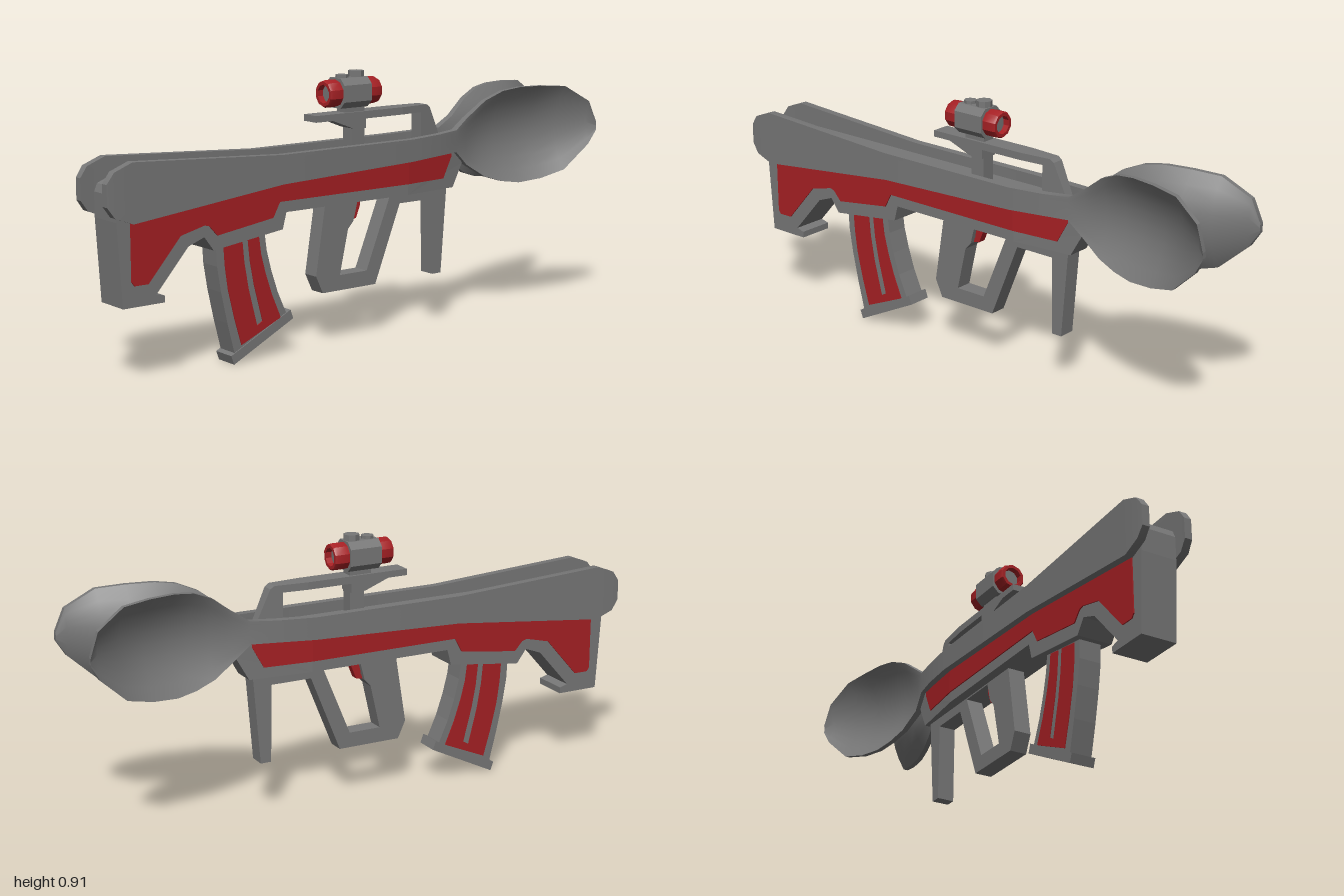
import * as THREE from 'three';
import { toCreasedNormals } from 'three/addons/utils/BufferGeometryUtils.js';

const gray = new THREE.MeshStandardMaterial({ color: 0x777777 });
gray.name = 'gunmetal gray';
const red = new THREE.MeshStandardMaterial({ color: 0xa62024 });
red.name = 'deep red';

function part(parent, name, geometry, material) {
  const mesh = new THREE.Mesh(geometry, material);
  mesh.name = name;
  parent.add(mesh);
  return mesh;
}

const vectors = (points) => points.map(([a, b]) => new THREE.Vector2(a, b));

// Side profile given as (z, y) points, extruded across x from x0 to x1
function slab(points, x0, x1, hole) {
  const shape = new THREE.Shape(vectors(points));
  if (hole) shape.holes.push(new THREE.Path(vectors(hole)));
  const geo = new THREE.ExtrudeGeometry(shape, { depth: x1 - x0, bevelEnabled: false });
  return geo.rotateY(-Math.PI / 2).translate(x1, 0, 0);
}

// Narrow a geometry in x between two z positions
function taper(geo, zStart, zEnd, endScale) {
  const p = geo.attributes.position;
  for (let i = 0; i < p.count; i++) {
    const t = THREE.MathUtils.clamp((zStart - p.getZ(i)) / (zStart - zEnd), 0, 1);
    p.setX(i, p.getX(i) * (1 - t * (1 - endScale)));
  }
  geo.computeVertexNormals();
  return geo;
}

// Spoon stations: z, low y, high y, outer x, hollow depth, thickness
const spoonStations = [
  [1.0, 0.575, 0.645, 0.09, 0, 0.026],
  [0.975, 0.54, 0.68, 0.093, 0, 0.028],
  [0.91, 0.515, 0.705, 0.093, 0, 0.028],
  [0.345, 0.577, 0.673, 0.09, 0, 0.028],
  [-0.2, 0.597, 0.673, 0.09, 0, 0.028],
  [-0.33, 0.603, 0.677, 0.076, 0, 0.028],
  [-0.42, 0.605, 0.682, 0.06, 0, 0.027],
  [-0.475, 0.555, 0.718, 0.052, 0.008, 0.024],
  [-0.55, 0.507, 0.775, 0.064, 0.037, 0.02],
  [-0.62, 0.485, 0.805, 0.078, 0.055, 0.018],
  [-0.69, 0.475, 0.815, 0.092, 0.066, 0.018],
  [-0.78, 0.483, 0.815, 0.109, 0.067, 0.018],
  [-0.875, 0.508, 0.808, 0.131, 0.05, 0.017],
  [-0.97, 0.595, 0.75, 0.156, 0.015, 0.016],
  [-1.0, 0.645, 0.672, 0.165, 0.002, 0.016],
];

function spoonGeometry(side) {
  const n = 8;
  const ring = 2 * (n + 1);
  const positions = [];
  const index = [];
  for (const [z, lo, hi, x, depth, thick] of spoonStations) {
    for (let k = 0; k < ring; k++) {
      const inner = k > n;
      const v = (inner ? ring - 1 - k : k) / n;
      const sag = depth * (1 - (2 * v - 1) ** 2);
      positions.push(side * (x - sag - (inner ? thick : 0)), lo + (hi - lo) * v, z);
    }
  }
  const tri = (a, b, c) => (side > 0 ? index.push(a, b, c) : index.push(a, c, b));
  const last = (spoonStations.length - 1) * ring;
  for (let s = 0; s < last; s += ring) {
    for (let k = 0; k < ring; k++) {
      const next = (k + 1) % ring;
      tri(s + k, s + ring + k, s + ring + next);
      tri(s + k, s + ring + next, s + next);
    }
  }
  for (let k = 0; k < n; k++) {
    const m = ring - 1 - k;
    for (const [o, flip] of [[0, false], [last, true]]) {
      const [a, b, c, d] = [o + k, o + k + 1, o + m - 1, o + m];
      if (flip) { tri(a, c, b); tri(a, d, c); } else { tri(a, b, c); tri(a, c, d); }
    }
  }
  const geo = new THREE.BufferGeometry();
  geo.setAttribute('position', new THREE.Float32BufferAttribute(positions, 3));
  geo.setIndex(index);
  return toCreasedNormals(geo, 0.6);
}

export function createModel() {
  const model = new THREE.Group();
  model.name = 'spoonRifle';

  // Body: straight stock and a rear section that narrows
  const W = 0.063;
  const narrow = (geo) => taper(geo, -0.2, -0.48, 0.58);
  part(model, 'stock', slab([
    [0.936, 0.25], [0.953, 0.52], [0.953, 0.6], [0.942, 0.625], [0.915, 0.636], [-0.2, 0.636],
    [-0.2, 0.48], [0.315, 0.48], [0.33, 0.425], [0.6, 0.39], [0.635, 0.437], [0.695, 0.415],
    [0.815, 0.28], [0.785, 0.272], [0.785, 0.25],
  ], -W, W), gray);
  part(model, 'rearBody', narrow(slab([
    [-0.2, 0.48], [-0.2, 0.636], [-0.5, 0.636], [-0.465, 0.56], [-0.42, 0.48],
  ], -W, W)), gray);

  // Red side panels and the two spoons
  for (const side of [1, -1]) {
    const label = side > 0 ? 'left' : 'right';
    const x0 = side > 0 ? W - 0.001 : -W - 0.004;
    const x1 = x0 + 0.005;
    part(model, label + 'StockPanel', slab([
      [0.905, 0.53], [0.905, 0.33], [0.895, 0.317], [0.845, 0.317], [0.725, 0.453], [0.635, 0.475],
      [0.617, 0.47], [0.587, 0.437], [0.37, 0.468], [0.343, 0.517], [-0.2, 0.517], [-0.2, 0.605],
      [0.345, 0.59],
    ], x0, x1), red);
    part(model, label + 'RearPanel', narrow(slab([
      [-0.2, 0.517], [-0.2, 0.605], [-0.41, 0.607], [-0.41, 0.59], [-0.37, 0.517],
    ], x0, x1)), red);
    part(model, label + 'Spoon', spoonGeometry(side), gray);
  }

  // Curved magazine with slotted red panels
  const magazine = new THREE.Group();
  magazine.name = 'magazine';
  model.add(magazine);
  part(magazine, 'magazineBody', slab([
    [0.577, 0.42], [0.572, 0.33], [0.558, 0.245], [0.535, 0.14], [0.507, 0.03], [0.297, 0.13],
    [0.335, 0.215], [0.36, 0.29], [0.378, 0.36], [0.388, 0.44],
  ], -0.039, 0.039), gray);
  part(magazine, 'magazineBase', slab([
    [0.524, 0.03], [0.513, 0], [0.275, 0.118], [0.286, 0.148],
  ], -0.043, 0.043), gray);
  for (const x of [0.038, -0.042]) {
    part(magazine, 'magazinePanel', slab([
      [0.547, 0.393], [0.543, 0.33], [0.532, 0.25], [0.508, 0.15], [0.482, 0.06], [0.325, 0.128],
      [0.36, 0.21], [0.385, 0.285], [0.402, 0.35], [0.41, 0.412], [0.453, 0.406], [0.445, 0.33],
      [0.43, 0.25], [0.398, 0.127], [0.42, 0.115], [0.452, 0.24], [0.468, 0.33], [0.475, 0.403],
    ], x, x + 0.004), red);
  }

  // Pistol grip with its guard, front leg and trigger
  part(model, 'gripFrame', slab([
    [0.13, 0.49], [0.17, 0.24], [0.142, 0.18], [-0.083, 0.18], [-0.19, 0.447], [-0.335, 0.447],
    [-0.34, 0.18], [-0.378, 0.18], [-0.402, 0.49],
  ], -0.03, 0.03, [
    [-0.005, 0.475], [-0.145, 0.475], [-0.045, 0.232], [0.07, 0.232], [0.035, 0.385], [0.012, 0.41],
  ]), gray);
  part(model, 'trigger', slab([
    [0.005, 0.485], [0.004, 0.43], [0.018, 0.41], [-0.012, 0.415], [-0.03, 0.46], [-0.03, 0.485],
  ], -0.014, 0.014), red);

  // Carry handle: rail, front post and sloping rear post
  const handle = new THREE.Group();
  handle.name = 'carryHandle';
  model.add(handle);
  part(handle, 'rail', slab([
    [0.17, 0.755], [0.17, 0.777], [-0.2, 0.777], [-0.2, 0.752], [-0.04, 0.752], [-0.04, 0.72],
    [0.013, 0.722], [0.1, 0.755],
  ], -0.033, 0.033), gray);
  part(handle, 'frontPost', slab([
    [0.013, 0.62], [0.013, 0.73], [-0.04, 0.73], [-0.04, 0.62],
  ], -0.024, 0.024), gray);
  part(handle, 'rearPost', taper(slab([
    [-0.2, 0.752], [-0.2, 0.777], [-0.315, 0.777], [-0.33, 0.767], [-0.395, 0.625], [-0.287, 0.625],
    [-0.287, 0.752],
  ], -0.033, 0.033), -0.2, -0.4, 0.45), gray);

  // Scope: chamfered housing, mount, knobs and hollow red end rings
  const scope = new THREE.Group();
  scope.name = 'scope';
  scope.position.y = 0.842;
  model.add(scope);
  const c = 0.028;
  const h = 0.05;
  const housing = new THREE.Shape(vectors([
    [h, -c], [h, c], [c, h], [-c, h], [-h, c], [-h, -c], [-c, -h], [c, -h],
  ]));
  part(scope, 'housing', new THREE.ExtrudeGeometry(housing, { depth: 0.115, bevelEnabled: false })
    .translate(0, 0, -0.05), gray);
  part(scope, 'mount', new THREE.BoxGeometry(0.046, 0.04, 0.08), gray).position.set(0, -0.06, 0);
  for (const [z, r, top] of [[-0.022, 0.027, 0.07], [0.037, 0.022, 0.06]]) {
    part(scope, 'knob', toCreasedNormals(new THREE.CylinderGeometry(r, r, top - 0.04, 8), 0.5), gray)
      .position.set(0, (top + 0.04) / 2, z);
  }
  const ringProfile = vectors([
    [0.041, 0.03], [0.046, 0.066], [0.046, 0.104], [0.042, 0.112], [0.031, 0.112], [0.031, 0.085],
  ]);
  for (const [label, turn] of [['front', 0], ['rear', Math.PI]]) {
    const end = new THREE.Group();
    end.name = label + 'ScopeEnd';
    end.rotation.y = turn;
    end.position.z = turn ? 0.01 : 0.003;
    scope.add(end);
    part(end, 'ring', toCreasedNormals(new THREE.LatheGeometry(ringProfile, 10).rotateX(Math.PI / 2), 0.5), red);
    part(end, 'lens', new THREE.CircleGeometry(0.032, 10), gray).position.z = 0.09;
  }

  return model;
}
